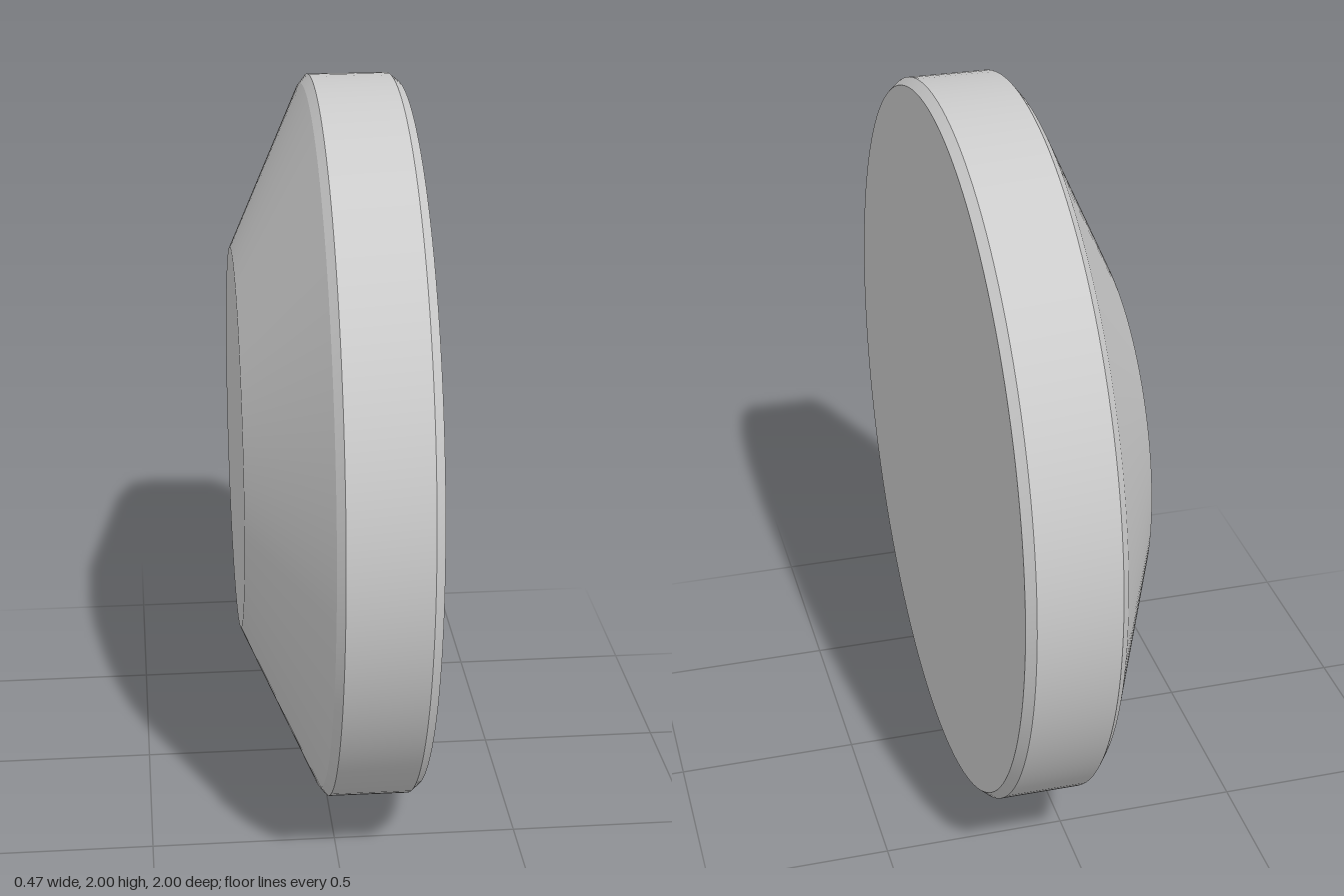
import * as THREE from 'three';
import { toCreasedNormals } from 'three/addons/utils/BufferGeometryUtils.js';

export function createModel() {
  const group = new THREE.Group();
  group.name = 'bevelledDisc';
  const material = new THREE.MeshStandardMaterial({ color: 0xcccccc });

  // Profile as [radius, distance along the axis], from the small face to the large one
  const profile = [
    [0, -0.235], [0.53, -0.235],   // small flat face
    [0.975, -0.034],               // wide cone
    [1, -0.014],                   // narrow chamfer
    [1, 0.204],                    // rim
    [0.98, 0.228], [0, 0.228],     // chamfer and large flat face
  ].map(([r, a]) => new THREE.Vector2(r, a));

  const disc = new THREE.Mesh(
    toCreasedNormals(new THREE.LatheGeometry(profile, 128), 0.15), material);
  disc.name = 'disc';
  // Axis lies along x, with a very slight turn towards +z
  disc.rotation.set(0, -0.0075, -Math.PI / 2);
  disc.position.y = 1;
  group.add(disc);
  return group;
}
